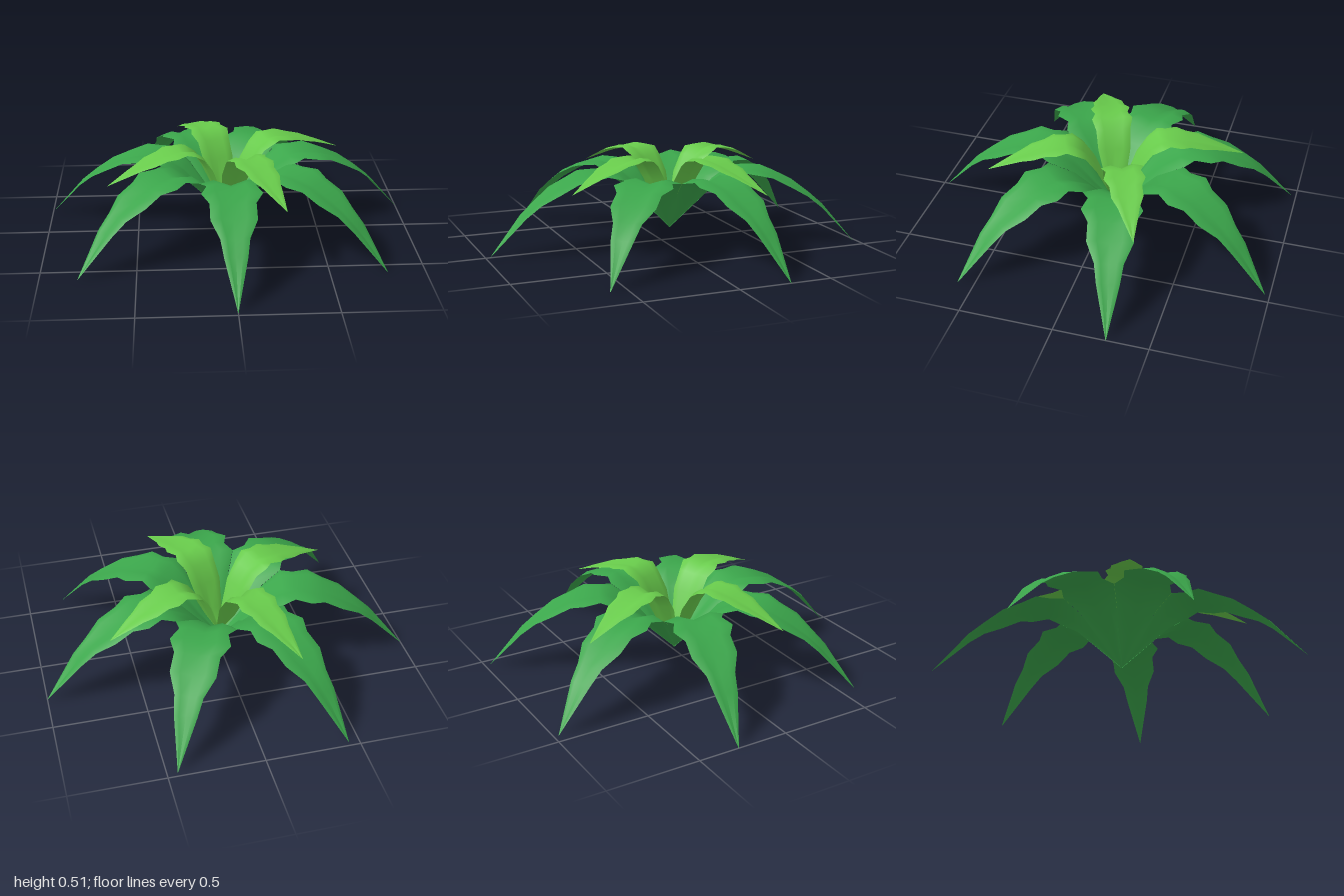
import * as THREE from 'three';

// Leaf stations from root to tip: [distance out, height, half width]
const OUTER = [
  [0, 0.07, 0.004], [0.12, 0.2, 0.06], [0.24, 0.33, 0.115], [0.34, 0.395, 0.163],
  [0.405, 0.407, 0.13], [0.49, 0.4, 0.16], [0.565, 0.378, 0.12], [0.665, 0.33, 0.12],
  [0.76, 0.27, 0.075], [0.84, 0.205, 0.06], [1.026, 0.0, 0.001],
];
const INNER = [
  [0, 0.1, 0.004], [0.06, 0.22, 0.06], [0.12, 0.36, 0.09], [0.18, 0.45, 0.095],
  [0.235, 0.488, 0.113], [0.28, 0.495, 0.092], [0.34, 0.49, 0.11], [0.39, 0.478, 0.085],
  [0.46, 0.458, 0.083], [0.525, 0.435, 0.055], [0.58, 0.414, 0.04], [0.705, 0.362, 0.001],
];

// Cross-section: [side, lift], both relative to half width; a shallow channel with curled rims
const SECTION = [[-1, 0], [-0.55, 0.11], [0, -0.08], [0.55, 0.11], [1, 0]];

function leafGeometry(stations) {
  const pos = [], index = [], n = SECTION.length;
  stations.forEach(([r, y, w], i) => {
    const a = stations[Math.max(i - 1, 0)];
    const b = stations[Math.min(i + 1, stations.length - 1)];
    const len = Math.hypot(b[0] - a[0], b[1] - a[1]);
    const nz = -(b[1] - a[1]) / len, ny = (b[0] - a[0]) / len;
    for (const [side, lift] of SECTION) {
      pos.push(side * w, y + ny * lift * w, r + nz * lift * w);
    }
    if (i === stations.length - 1) return;
    for (let j = 0; j < n - 1; j++) {
      const p = i * n + j, q = p + n;
      index.push(p, q, p + 1, p + 1, q, q + 1);
    }
  });
  const geo = new THREE.BufferGeometry();
  geo.setAttribute('position', new THREE.Float32BufferAttribute(pos, 3));
  geo.setIndex(index);
  geo.computeVertexNormals();
  return geo;
}

// Ring of equal leaves around the root
function rosette(name, stations, count, startAngle, material) {
  const ring = new THREE.Group();
  ring.name = name + 's';
  const geo = leafGeometry(stations);
  for (let i = 0; i < count; i++) {
    const leaf = new THREE.Mesh(geo, material);
    leaf.name = name;
    leaf.rotation.y = startAngle + (i / count) * Math.PI * 2;
    ring.add(leaf);
  }
  return ring;
}

export function createModel() {
  const darkGreen = new THREE.MeshStandardMaterial({ color: 0x3ba64b, side: THREE.DoubleSide });
  darkGreen.name = 'leaf green';
  const lightGreen = new THREE.MeshStandardMaterial({ color: 0x68cb4b, side: THREE.DoubleSide });
  lightGreen.name = 'young leaf green';

  const plant = new THREE.Group();
  plant.name = 'plant';
  plant.add(rosette('outerLeaf', OUTER, 7, 0, darkGreen));
  plant.add(rosette('innerLeaf', INNER, 4, Math.PI / 8, lightGreen));
  plant.position.z = -0.05;

  const model = new THREE.Group();
  model.add(plant);
  return model;
}
